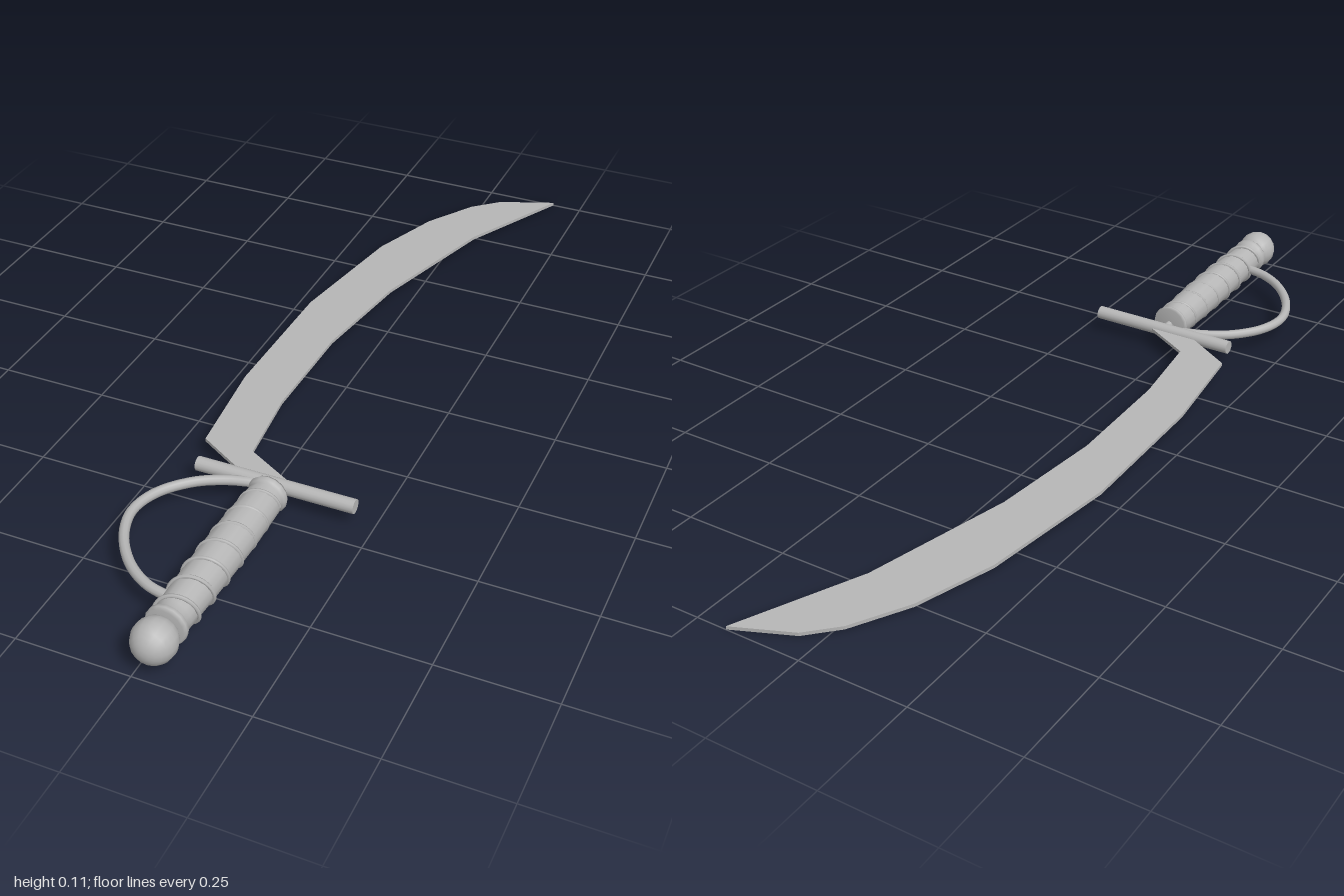
import * as THREE from 'three';

export function createModel() {
  const steel = new THREE.MeshStandardMaterial({ color: 0xb6b6b6 });
  steel.name = 'grey steel';
  const model = new THREE.Group();
  model.name = 'sabre';
  const sword = new THREE.Group();
  sword.name = 'swordBody';
  model.add(sword);
  const add = (name, geometry, x = 0, y = 0, z = 0) => {
    const mesh = new THREE.Mesh(geometry, steel);
    mesh.name = name;
    mesh.position.set(x, y, z);
    sword.add(mesh);
    return mesh;
  };
  const AXIS = 0.028; // x of the handle

  // Curved blade: thin plate, outline given as [x, z]
  const outline = [
    [0.06, 0.425], [-0.064, 0.355], [-0.087, 0.16], [-0.087, -0.116], [-0.05, -0.39],
    [0.045, -0.73], [0.177, -1], [0.045, -0.945], [-0.018, -0.885], [-0.092, -0.762],
    [-0.155, -0.582], [-0.206, -0.254], [-0.206, 0.106], [-0.177, 0.355], [-0.06, 0.425],
  ];
  const bladeShape = new THREE.Shape(outline.map(([x, z]) => new THREE.Vector2(x, -z)));
  const blade = new THREE.ExtrudeGeometry(bladeShape, { depth: 0.008, bevelEnabled: false });
  add('blade', blade.rotateX(-Math.PI / 2), 0, -0.004, 0);

  // Cross guard bar and short tang behind it
  add('crossGuard', new THREE.CylinderGeometry(0.016, 0.016, 0.362, 16).rotateZ(Math.PI / 2), AXIS, 0, 0.436);
  add('tang', new THREE.CylinderGeometry(0.009, 0.009, 0.05, 10).rotateX(Math.PI / 2), AXIS, 0, 0.455);

  // Grip with a collar at each end
  const gripProfile = [
    [0, 0.466], [0.042, 0.466], [0.045, 0.473], [0.042, 0.481], [0.038, 0.486], [0.041, 0.5],
    [0.044, 0.6], [0.044, 0.7], [0.042, 0.8], [0.039, 0.88], [0.038, 0.895],
    [0.044, 0.9], [0.045, 0.909], [0.041, 0.916], [0, 0.916],
  ].map(([r, z]) => new THREE.Vector2(r, z));
  add('grip', new THREE.LatheGeometry(gripProfile, 16).rotateX(Math.PI / 2), AXIS);

  // Wire wound around the grip
  const wire = [];
  const turns = 6.5, steps = 110;
  for (let i = 0; i <= steps; i++) {
    const t = i / steps, a = t * turns * Math.PI * 2;
    const r = 0.0395 + 0.0035 * Math.sin(Math.PI * Math.min(1, 1.1 - t));
    wire.push(new THREE.Vector3(r * Math.cos(a), r * Math.sin(a), 0.5 + t * 0.385));
  }
  add('gripWire', new THREE.TubeGeometry(new THREE.CatmullRomCurve3(wire), 200, 0.0045, 6), AXIS);

  // Round pommel
  add('pommel', new THREE.SphereGeometry(0.047, 16, 12).rotateX(Math.PI / 2), AXIS, 0, 0.953);

  // Knuckle bow from the cross guard round to the grip
  const bow = new THREE.CatmullRomCurve3([
    [-0.02, 0.448], [-0.07, 0.463], [-0.13, 0.497], [-0.183, 0.56], [-0.2, 0.63],
    [-0.178, 0.705], [-0.123, 0.779], [-0.06, 0.822], [0.005, 0.838],
  ].map(([x, z]) => new THREE.Vector3(x, 0, z)));
  add('knuckleBow', new THREE.TubeGeometry(bow, 40, 0.011, 10));

  // The blade lies on its tip, so the whole sword tilts slightly
  sword.rotation.x = -0.029;
  sword.position.y = 0.0355;
  return model;
}
